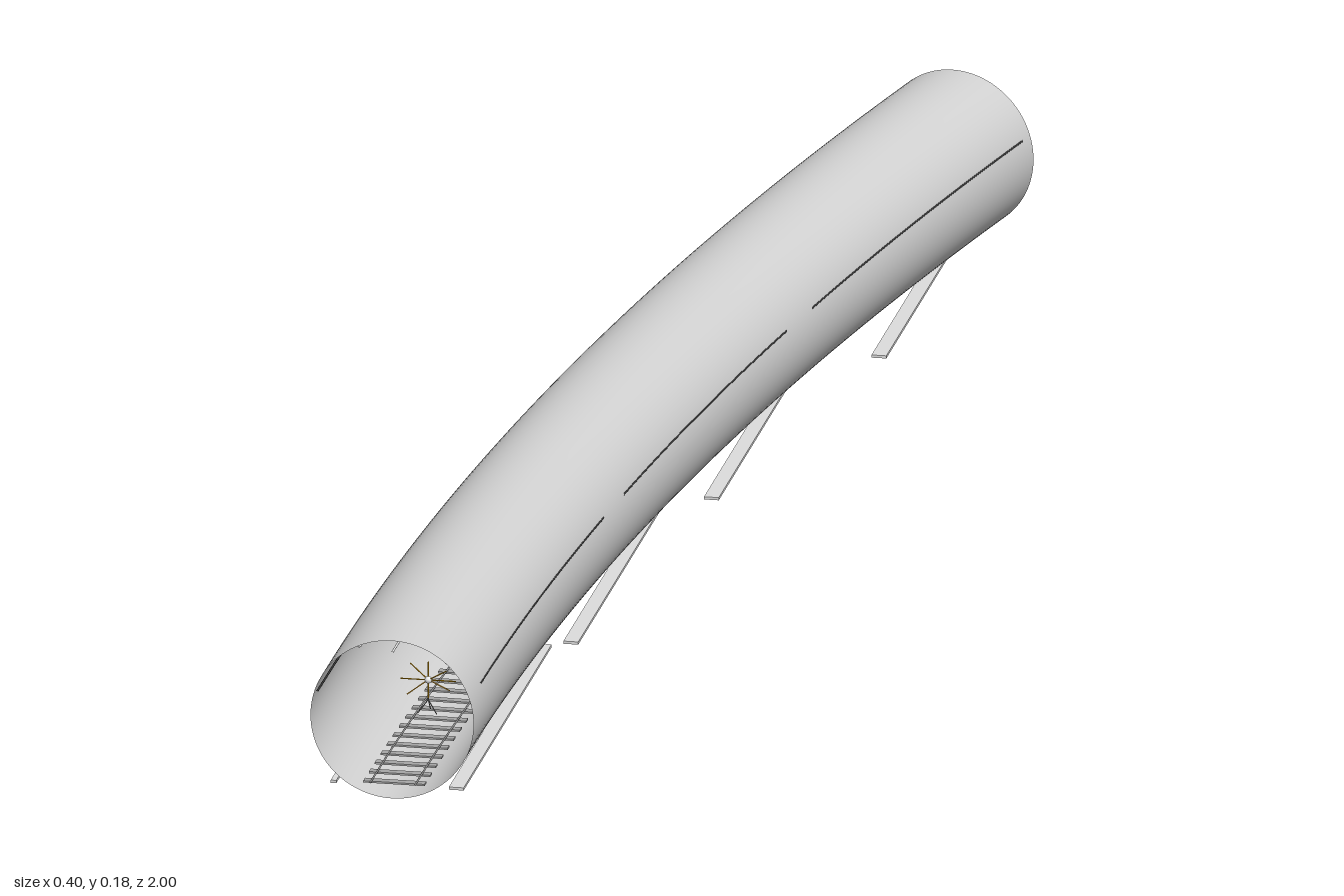
import * as THREE from 'three';

const R = 0.0878;
const mat = (name, color, side = THREE.FrontSide) => {
  const m = new THREE.MeshStandardMaterial({ color, side });
  m.name = name;
  return m;
};

export function createModel() {
  const model = new THREE.Group();
  model.name = 'curvedTunnel';

  const concrete = mat('concrete grey', 0xd3d3d3, THREE.DoubleSide);
  const steel = mat('rail steel', 0x9a9a9a);
  const sleeperGrey = mat('sleeper grey', 0xa8a8a8);
  const paleGrey = mat('walkway pale grey', 0xdedede);
  const cableDark = mat('cable dark', 0x333333);
  const legGrey = mat('tripod grey', 0x666666);
  const white = mat('instrument white', 0xffffff);
  const amber = mat('beam amber', 0xffb800);

  // Tunnel axis: straight at the front mouth, bending towards +x at the back
  const axis = new THREE.QuadraticBezierCurve3(
    new THREE.Vector3(-0.112, 0.0895, 1),
    new THREE.Vector3(-0.112, 0.091, 0.01),
    new THREE.Vector3(0.114, 0.0937, -0.98)
  );
  const heading = (t) => {
    const d = axis.getTangent(t);
    return Math.atan2(-d.x, -d.z);
  };
  // Point at a sideways (+x) and upward offset from the axis
  const at = (t, side, up) => {
    const p = axis.getPoint(t), h = heading(t);
    return new THREE.Vector3(p.x + side * Math.cos(h), p.y + up, p.z - side * Math.sin(h));
  };
  const add = (name, geo, material, pos, parent = model) => {
    const m = new THREE.Mesh(geo, material);
    m.name = name;
    if (pos) m.position.copy(pos);
    parent.add(m);
    return m;
  };
  // Thin line following the bend from t0 to t1
  const along = (name, side, up, radius, material, t0 = 0, t1 = 1) => {
    const pts = [];
    for (let i = 0; i <= 16; i++) pts.push(at(t0 + (t1 - t0) * i / 16, side, up));
    add(name, new THREE.TubeGeometry(new THREE.CatmullRomCurve3(pts), 48, radius, 8), material);
  };
  const rod = (name, a, b, r, material, parent) => {
    const m = add(name, new THREE.CylinderGeometry(r, r, a.distanceTo(b), 5), material,
      a.clone().add(b).multiplyScalar(0.5), parent);
    m.quaternion.setFromUnitVectors(new THREE.Vector3(0, 1, 0), b.clone().sub(a).normalize());
  };

  // Tunnel lining, open at both mouths
  add('tunnelLining', new THREE.TubeGeometry(axis, 64, R, 96), concrete);

  // Rails, wall cables and ceiling line
  for (const s of [-1, 1]) along('rail', s * 0.024, -0.0725, 0.001, steel);
  for (const [t0, t1] of [[0.03, 0.32], [0.36, 0.65], [0.69, 0.99]]) {
    along('wallCableLeft', 0.0828, 0.0258, 0.0016, cableDark, t0, t1);
  }
  along('wallCableRight', -0.081, 0.0258, 0.0012, cableDark);
  along('ceilingLine', 0, 0.0745, 0.0012, white);

  // Sleepers
  const sleeperGeo = new THREE.BoxGeometry(0.066, 0.002, 0.01);
  for (let i = 0; i < 64; i++) {
    const t = (i + 0.5) / 64;
    add('sleeper', sleeperGeo, sleeperGrey, at(t, 0, -0.0745)).rotation.y = heading(t);
  }

  // Straight walkway and drain sections, stepped along the bend
  const walkGeo = new THREE.BoxGeometry(0.016, 0.003, 0.49);
  const drainGeo = new THREE.BoxGeometry(0.006, 0.003, 0.5);
  [[-0.108, 0.0165], [-0.08, 0.02], [-0.024, 0.0235], [0.061, 0.026]].forEach(([x, y], i) => {
    add('walkway', walkGeo, paleGrey, new THREE.Vector3(x + 0.065, y, 0.754 - 0.493 * i));
    add('drain', drainGeo, paleGrey, new THREE.Vector3(x - 0.067, y, 0.75 - 0.5 * i));
  });

  // Survey tripods with radiating beams
  for (const [t, side] of [[0.1, -0.0015], [0.285, 0], [0.505, 0]]) {
    const g = new THREE.Group();
    g.name = 'surveyTripod';
    g.position.copy(at(t, side, -0.0205));
    model.add(g);
    const o = new THREE.Vector3();
    add('tripodHead', new THREE.SphereGeometry(0.004, 12, 8), white, o, g);
    rod('tripodPost', o, new THREE.Vector3(0, -0.022, 0), 0.0006, legGrey, g);
    for (let i = 0; i < 3; i++) {
      const a = i * Math.PI * 2 / 3 + Math.PI / 6;
      rod('tripodLeg', new THREE.Vector3(0, -0.022, 0),
        new THREE.Vector3(0.012 * Math.cos(a), -0.036, 0.012 * Math.sin(a)), 0.0006, legGrey, g);
    }
    for (let i = 0; i < 8; i++) {
      const a = i * Math.PI / 4;
      rod('beam', o, new THREE.Vector3(0.03 * Math.cos(a), 0.02 * Math.sin(a), 0.01 * Math.sin(a * 2)), 0.0007, amber, g);
    }
  }

  // Wall targets
  for (const t of [0.1, 0.4, 0.7]) {
    add('wallTarget', new THREE.SphereGeometry(0.0025, 8, 6), white, at(t, -0.076, 0.013));
  }
  return model;
}
